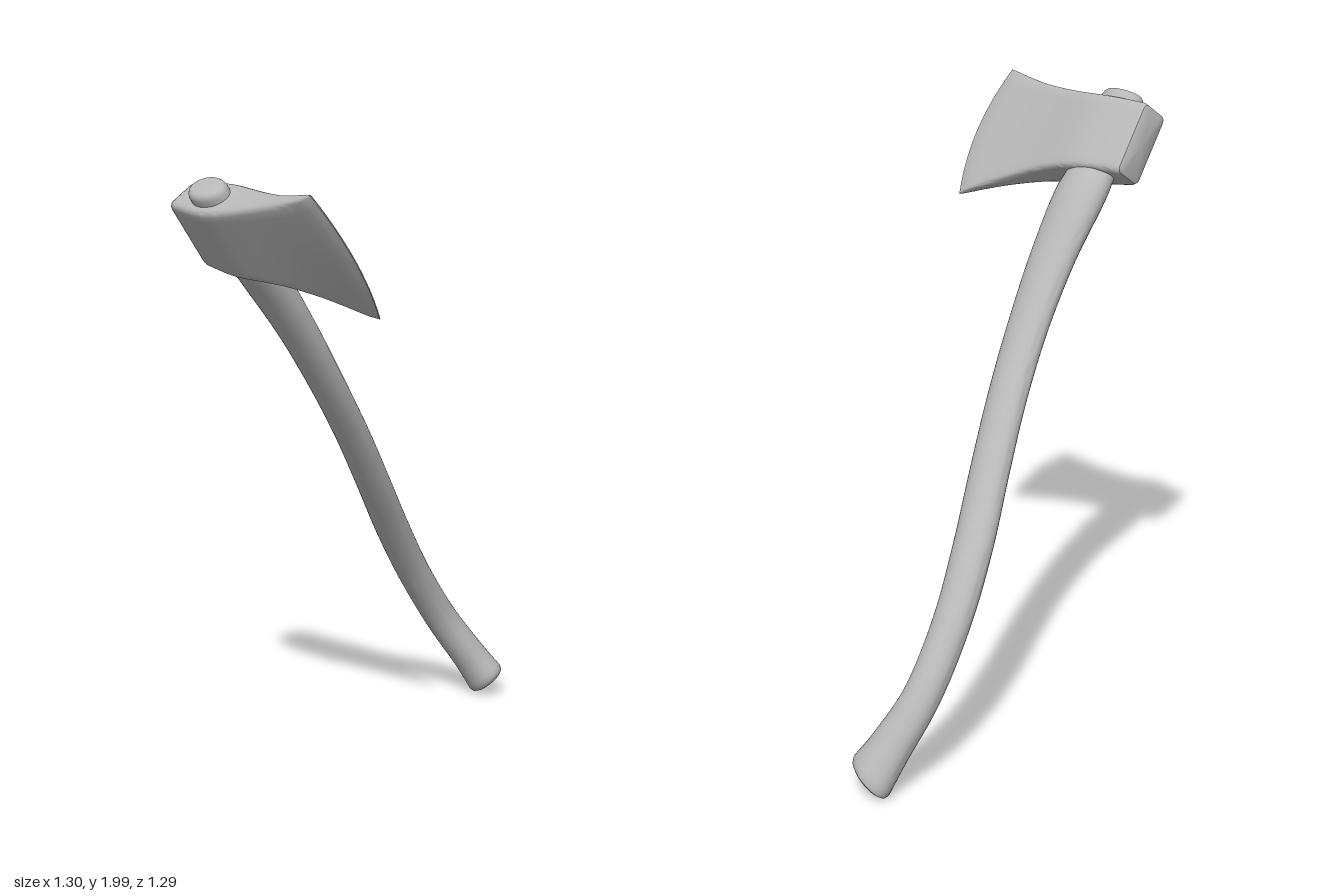
import * as THREE from 'three';
import { toCreasedNormals } from 'three/addons/utils/BufferGeometryUtils.js';

// Skin a row of closed rings (arrays of Vector3) and cap both ends
function loft(rings, crease) {
  const n = rings[0].length, pos = [], idx = [];
  rings.forEach(r => r.forEach(p => pos.push(p.x, p.y, p.z)));
  for (let i = 0; i < rings.length - 1; i++) {
    for (let j = 0; j < n; j++) {
      const k = (j + 1) % n;
      const a = i * n + j, b = i * n + k, c = b + n, d = a + n;
      idx.push(a, b, c, a, c, d);
    }
  }
  [0, rings.length - 1].forEach((row, end) => {
    const centre = rings[row].reduce((s, p) => s.add(p), new THREE.Vector3()).divideScalar(n);
    const c = pos.length / 3;
    pos.push(centre.x, centre.y, centre.z);
    for (let j = 0; j < n; j++) {
      const a = row * n + j, b = row * n + (j + 1) % n;
      if (end) idx.push(c, a, b); else idx.push(c, b, a);
    }
  });
  const g = new THREE.BufferGeometry();
  g.setAttribute('position', new THREE.Float32BufferAttribute(pos, 3));
  g.setIndex(idx);
  return toCreasedNormals(g, crease);
}

// Curved oval handle: x, y, z of the centre line, half depth, half thickness
function handleGeometry() {
  const stations = [
    [-0.252, -1.348, 0.000, 0.088, 0.066],
    [-0.282, -1.248, -0.004, 0.074, 0.059],
    [-0.322, -1.070, -0.004, 0.063, 0.056],
    [-0.315, -0.822, 0.000, 0.065, 0.054],
    [-0.272, -0.580, 0.003, 0.070, 0.053],
    [-0.210, -0.336, 0.006, 0.071, 0.051],
    [-0.154, -0.093, 0.008, 0.072, 0.050],
    [-0.110, 0.159, 0.014, 0.077, 0.050],
    [-0.089, 0.401, 0.018, 0.087, 0.054],
    [-0.085, 0.620, 0.028, 0.098, 0.061],
    [-0.080, 0.730, 0.043, 0.088, 0.056],
    [-0.079, 0.850, 0.046, 0.082, 0.054],
    [-0.078, 0.978, 0.045, 0.080, 0.054],
  ];
  const path = new THREE.CatmullRomCurve3(stations.map(s => new THREE.Vector3(s[0], s[1], s[2])));
  const radii = new THREE.CatmullRomCurve3(
    stations.map((s, i) => new THREE.Vector3(s[3], s[4], i * 0.1)));
  const rings = [];
  const addRing = (t, scale, offset) => {
    const tan = path.getTangent(t);
    const p = path.getPoint(t).addScaledVector(tan, offset);
    const r = radii.getPoint(t);
    const side = new THREE.Vector3(tan.y, -tan.x, 0).normalize();
    // The lower end is cut on a slant that fades out up the shaft
    const slant = 0.2 * Math.max(0, 1 - t * 10);
    side.addScaledVector(tan, slant);
    const ring = [];
    for (let j = 0; j < 32; j++) {
      const a = j / 32 * Math.PI * 2;
      const q = p.clone().addScaledVector(side, Math.sin(a) * r.x * scale);
      q.z += Math.cos(a) * r.y * scale;
      ring.push(q);
    }
    rings.push(ring);
  };
  // Softened lower end, shaft, softened knob on top
  addRing(0, 0.80, -0.020);
  addRing(0, 0.93, -0.014);
  for (let i = 0; i <= 72; i++) addRing(i / 72, 1, 0);
  addRing(1, 0.95, 0.010);
  addRing(1, 0.86, 0.017);
  addRing(1, 0.70, 0.020);
  return loft(rings, 0.65);
}

// Rounded rectangle ring, running from the top towards +z
function headRing([x, bottom, top, half, bulge]) {
  const r = Math.min(0.018, half * 0.6), ring = [];
  const mid = (top + bottom) / 2, tall = (top - bottom) / 2;
  const zc = 0.042 - 0.08 * x;
  const put = (y, z) => {
    const v = (y - mid) / tall;
    ring.push(new THREE.Vector3(x + bulge * (1 - v * v), y, z + zc));
  };
  const corner = (cy, cz, start) => {
    for (let i = 0; i <= 3; i++) {
      const a = start + i / 3 * Math.PI / 2;
      put(cy + Math.cos(a) * r, cz + Math.sin(a) * r);
    }
  };
  const flank = (from, to, z) => {
    for (let i = 1; i < 12; i++) put(from + (to - from) * i / 12, z);
  };
  const hi = top - r, lo = bottom + r, w = half - r;
  corner(hi, w, 0);
  flank(hi, lo, half);
  corner(lo, w, Math.PI / 2);
  corner(lo, -w, Math.PI);
  flank(lo, hi, -half);
  corner(hi, -w, Math.PI * 1.5);
  return ring;
}

// Wedge head: x, bottom, top, half thickness, forward bulge
function headGeometry() {
  const stations = [
    [-0.208, 0.712, 0.964, 0.060, 0],
    [-0.150, 0.708, 0.963, 0.069, 0],
    [-0.080, 0.700, 0.961, 0.076, 0],
    [-0.020, 0.692, 0.961, 0.074, 0],
    [0.050, 0.680, 0.963, 0.064, 0],
    [0.140, 0.657, 0.970, 0.048, 0.004],
    [0.230, 0.625, 0.980, 0.034, 0.010],
    [0.320, 0.590, 0.995, 0.022, 0.024],
    [0.393, 0.559, 1.010, 0.012, 0.038],
    [0.423, 0.545, 1.016, 0.0015, 0.043],
  ];
  const curves = [
    new THREE.CatmullRomCurve3(stations.map(s => new THREE.Vector3(s[0], s[1], s[2]))),
    new THREE.CatmullRomCurve3(stations.map(s => new THREE.Vector3(s[0], s[3], s[4]))),
  ];
  // Softened poll, then the body narrowing to the cutting edge
  const rings = [
    headRing([-0.226, 0.726, 0.950, 0.046, 0]),
    headRing([-0.221, 0.717, 0.959, 0.055, 0]),
  ];
  for (let i = 0; i <= 36; i++) {
    const a = curves[0].getPoint(i / 36), b = curves[1].getPoint(i / 36);
    rings.push(headRing([a.x, a.y, a.z, Math.max(b.y, 0.0015), Math.max(b.z, 0)]));
  }
  return loft(rings, 0.6);
}

export function createModel() {
  const grey = new THREE.MeshStandardMaterial({ color: 0xb8b8b8 });
  grey.name = 'plainGrey';

  const axe = new THREE.Group();
  axe.name = 'axe';
  const handle = new THREE.Mesh(handleGeometry(), grey);
  handle.name = 'handle';
  const head = new THREE.Mesh(headGeometry(), grey);
  head.name = 'axeHead';
  axe.add(handle, head);

  // Lean the axe: local x is the cutting direction, local y runs up the handle
  const cut = new THREE.Vector3(0.386, -0.036, 0.923).normalize();
  const up = new THREE.Vector3(-0.509, 0.825, 0.245);
  up.addScaledVector(cut, -up.dot(cut)).normalize();
  const flat = new THREE.Vector3().crossVectors(cut, up);
  axe.quaternion.setFromRotationMatrix(new THREE.Matrix4().makeBasis(cut, up, flat));

  // Stand on the ground, centred
  const model = new THREE.Group();
  model.name = 'model';
  model.add(axe);
  model.updateMatrixWorld(true);
  const box = new THREE.Box3().setFromObject(axe, true);
  const centre = box.getCenter(new THREE.Vector3());
  axe.position.set(-centre.x, -box.min.y, -centre.z);
  return model;
}
